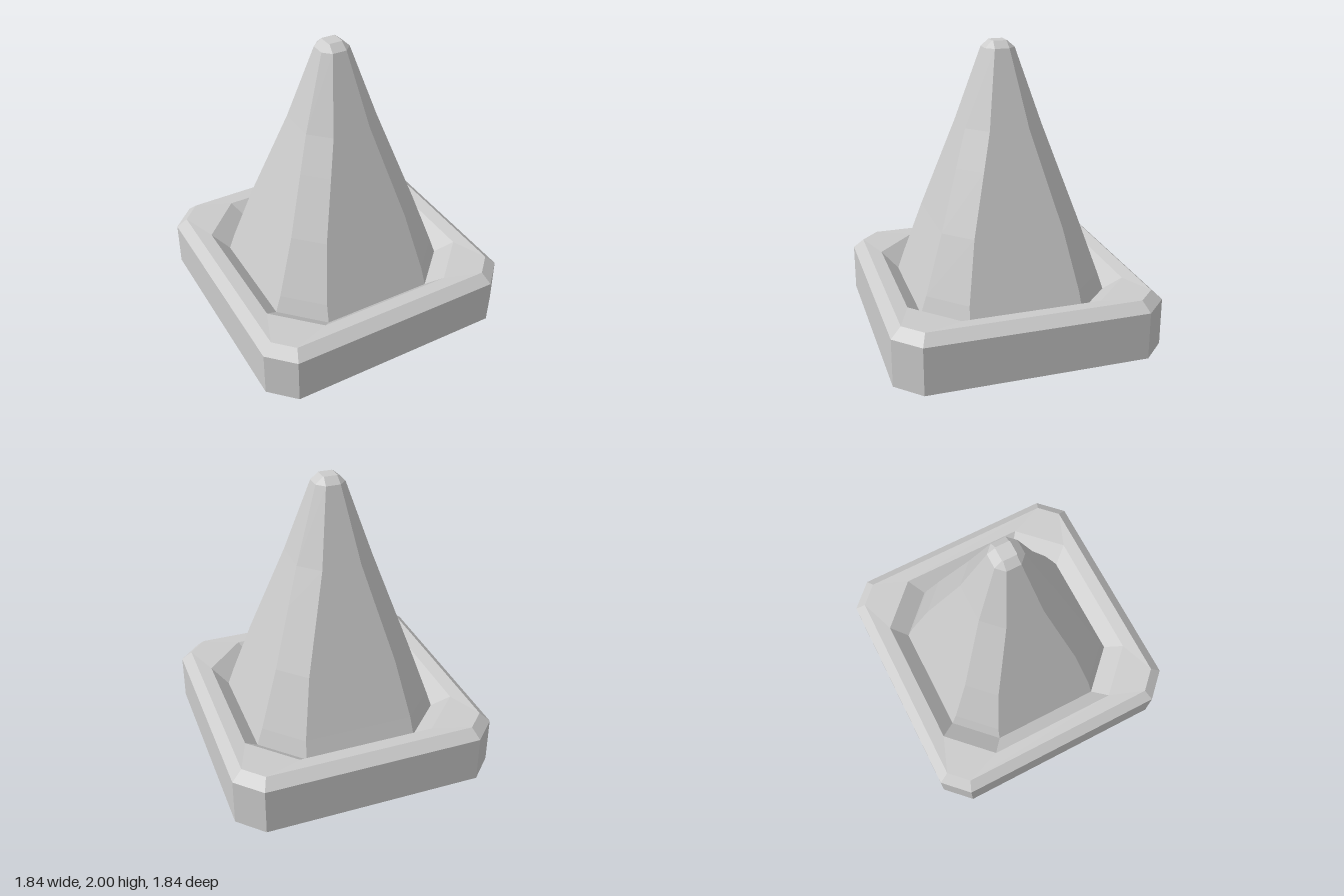
import * as THREE from 'three';

// Square ring with cut corners: half = half width, flat = half length of each straight side
function ring([half, flat, y]) {
  return [[half, -flat], [half, flat], [flat, half], [-flat, half],
    [-half, flat], [-half, -flat], [-flat, -half], [flat, -half]].map(([x, z]) => [x, y, z]);
}

// Skins a run of rings, optionally closing the first or last one
function loft(sections, capStart, capEnd) {
  const rings = sections.map(ring);
  const pos = [];
  const tri = (a, b, c) => pos.push(...a, ...b, ...c);
  for (let r = 0; r < rings.length - 1; r++) {
    for (let i = 0; i < 8; i++) {
      const j = (i + 1) % 8, lo = rings[r], hi = rings[r + 1];
      tri(lo[i], hi[i], lo[j]);
      tri(lo[j], hi[i], hi[j]);
    }
  }
  const first = rings[0], last = rings[rings.length - 1];
  for (let i = 1; i < 7; i++) {
    if (capStart) tri(first[0], first[i], first[i + 1]);
    if (capEnd) tri(last[0], last[i + 1], last[i]);
  }
  const geo = new THREE.BufferGeometry();
  geo.setAttribute('position', new THREE.Float32BufferAttribute(pos, 3));
  geo.computeVertexNormals();
  return geo;
}

export function createModel() {
  const group = new THREE.Group();
  const material = new THREE.MeshStandardMaterial({ color: 0xcccccc, flatShading: true });
  const add = (name, geo) => {
    const mesh = new THREE.Mesh(geo, material);
    mesh.name = name;
    group.add(mesh);
  };

  // Chamfered foot with a sunken groove around the cone
  add('base', loft([
    [0.92, 0.755, 0], [0.92, 0.755, 0.33], [0.85, 0.725, 0.395],
    [0.755, 0.47, 0.385], [0.65, 0.388, 0.28],
  ], true, false));

  // Tapering eight-sided cone with a small bevelled tip
  add('cone', loft([
    [0.65, 0.388, 0.28], [0.61, 0.378, 0.4], [0.478, 0.305, 0.8], [0.347, 0.2, 1.2],
    [0.265, 0.135, 1.45], [0.102, 0.05, 1.955], [0.05, 0.045, 2],
  ], false, true));

  return group;
}
